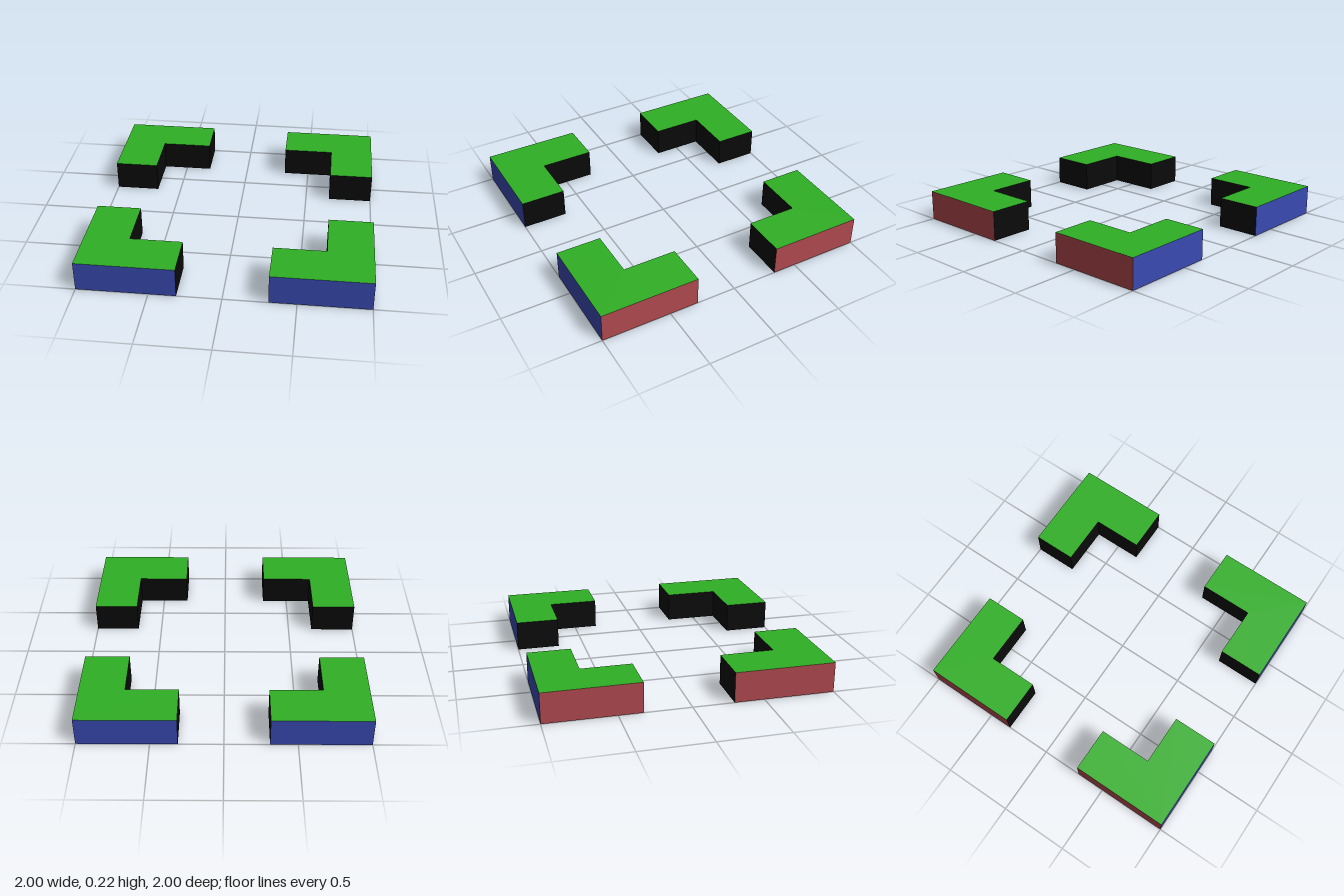
import * as THREE from 'three';

const HEIGHT = 0.215;

function mat(name, color) {
  const m = new THREE.MeshStandardMaterial({ color });
  m.name = name;
  return m;
}

// L-shaped block in one corner: sx, sz pick the corner,
// armZ is where its arm along z ends, innerZ the inside edge of its arm along x
function cornerBlock(name, sx, sz, armZ, innerZ, materials) {
  const outline = [[1, 1], [0.31, 1], [0.31, innerZ], [0.68, innerZ], [0.68, armZ], [1, armZ]];
  const shape = new THREE.Shape(outline.map(([x, z]) => new THREE.Vector2(sx * x, -sz * z)));
  const geo = new THREE.ExtrudeGeometry(shape, { depth: HEIGHT, bevelEnabled: false });
  geo.rotateX(-Math.PI / 2);

  // Colour each face by the way it points and whether it lies on the outer square
  const pos = geo.attributes.position;
  const nor = geo.attributes.normal;
  geo.clearGroups();
  for (let i = 0; i < pos.count; i += 3) {
    const onOuter = (get) => [0, 1, 2].every((k) => Math.abs(get(i + k)) > 0.999);
    let index = 4;
    if (nor.getY(i) > 0.5) index = 0;
    else if (nor.getY(i) < -0.5) index = 1;
    else if (onOuter((k) => pos.getZ(k))) index = 2;
    else if (onOuter((k) => pos.getX(k))) index = 3;
    geo.addGroup(i, 3, index);
  }
  const mesh = new THREE.Mesh(geo, materials);
  mesh.name = name;
  return mesh;
}

export function createModel() {
  const materials = [
    mat('green top', 0x30b025),
    mat('olive underside', 0xa09e2c),
    mat('blue front and back', 0x394ab2),
    mat('red sides', 0xb24a50),
    mat('black inner walls', 0x0a0a0a),
  ];
  const group = new THREE.Group();
  group.name = 'cornerBlocks';
  for (const [side, sx] of [['Left', 1], ['Right', -1]]) {
    group.add(cornerBlock('front' + side + 'Block', sx, 1, 0.29, 0.675, materials));
    group.add(cornerBlock('back' + side + 'Block', sx, -1, 0.33, 0.69, materials));
  }
  return group;
}
